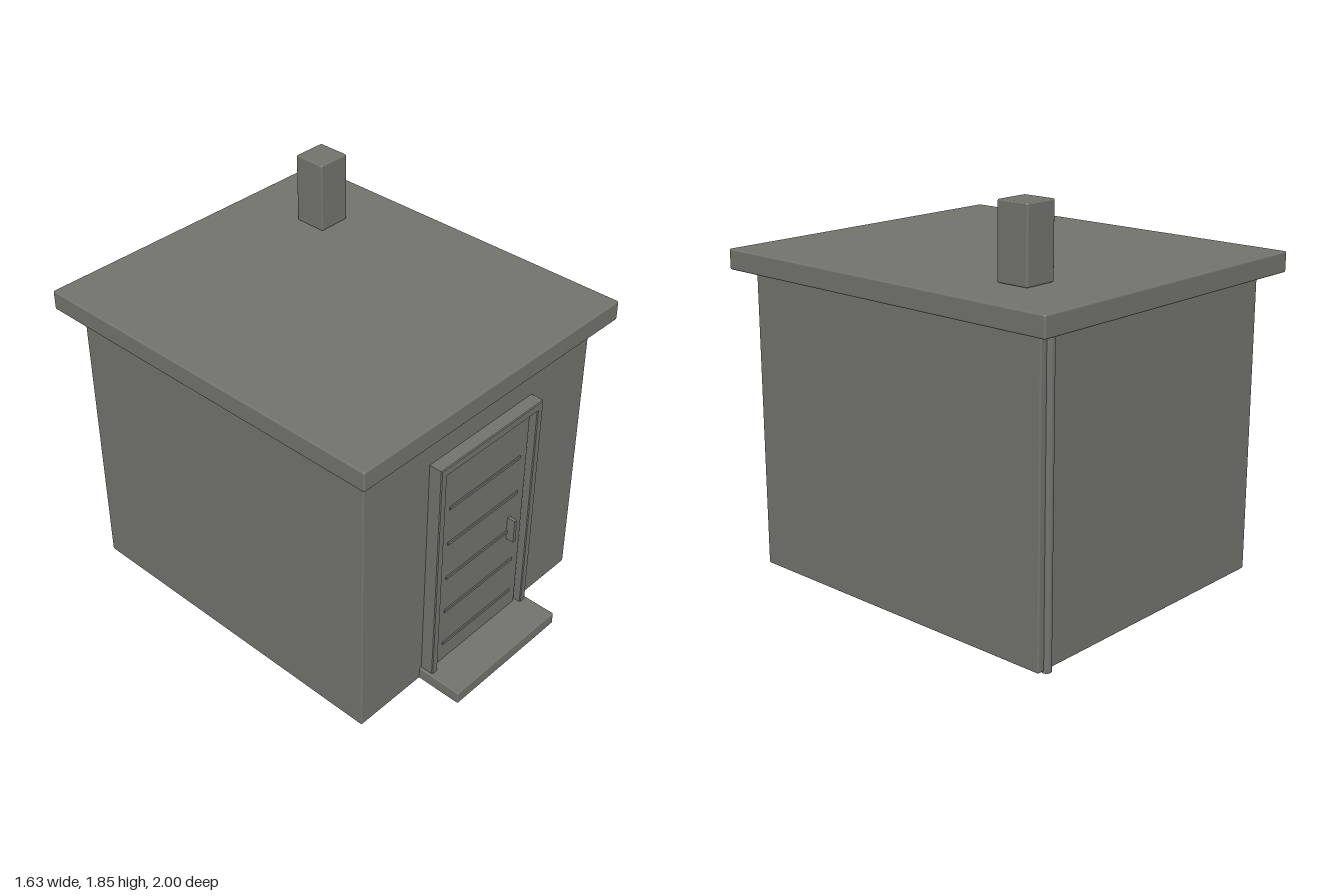
import * as THREE from 'three';
import { RoundedBoxGeometry } from 'three/addons/geometries/RoundedBoxGeometry.js';

export function createModel() {
  const model = new THREE.Group();
  model.name = 'hut';
  const concrete = new THREE.MeshStandardMaterial({ color: 0x74746f });
  concrete.name = 'grey concrete';

  const add = (name, geometry, parent = model) => {
    const mesh = new THREE.Mesh(geometry, concrete);
    mesh.name = name;
    parent.add(mesh);
    return mesh;
  };

  // Block between two extents on each axis, with a small bevel if wanted
  const block = (name, [x0, x1], [y0, y1], [z0, z1], bevel = 0, parent = model) => {
    const size = [x1 - x0, y1 - y0, z1 - z0];
    const geometry = bevel
      ? new RoundedBoxGeometry(...size, 2, bevel)
      : new THREE.BoxGeometry(...size);
    geometry.translate((x0 + x1) / 2, (y0 + y1) / 2, (z0 + z1) / 2);
    return add(name, geometry, parent);
  };

  // Main building
  block('walls', [-0.73, 0.73], [0.008, 1.42], [-0.907, 0.775], 0.007);
  block('roof', [-0.815, 0.815], [1.42, 1.515], [-1, 0.856], 0.008);
  block('chimney', [0.365, 0.53], [1.515, 1.853], [-0.66, -0.498], 0.008);
  block('doorstep', [-0.347, 0.347], [0.008, 0.07], [0.74, 1], 0.006);

  // Door frame: an arch with an open bottom
  const frame = new THREE.Shape();
  [[-0.331, 0.07], [-0.303, 0.07], [-0.303, 1.192], [0.303, 1.192], [0.303, 0.07],
    [0.331, 0.07], [0.331, 1.226], [-0.331, 1.226]]
    .forEach(([x, y], i) => (i ? frame.lineTo(x, y) : frame.moveTo(x, y)));
  const frameGeometry = new THREE.ExtrudeGeometry(frame, {
    depth: 0.073, bevelEnabled: true, bevelSize: 0.004, bevelThickness: 0.004, bevelSegments: 1,
  });
  frameGeometry.translate(0, 0, 0.763);
  add('doorFrame', frameGeometry);

  // Door with five slats and an upright handle
  const door = new THREE.Group();
  door.name = 'door';
  model.add(door);
  block('doorPanel', [-0.285, 0.285], [0.07, 1.165], [0.76, 0.812], 0.005, door);
  for (let i = 0; i < 5; i++) {
    const y = 0.175 + i * 0.1975;
    block('doorSlat', [-0.24, 0.236], [y - 0.007, y + 0.007], [0.81, 0.818], 0, door);
  }
  block('doorHandle', [0.181, 0.198], [0.527, 0.65], [0.81, 0.853], 0, door);

  // Drainpipe down the back wall
  const pipe = add('drainpipe', new THREE.CylinderGeometry(0.022, 0.022, 1.42, 12));
  pipe.position.set(0.675, 0.71, -0.904);

  return model;
}
